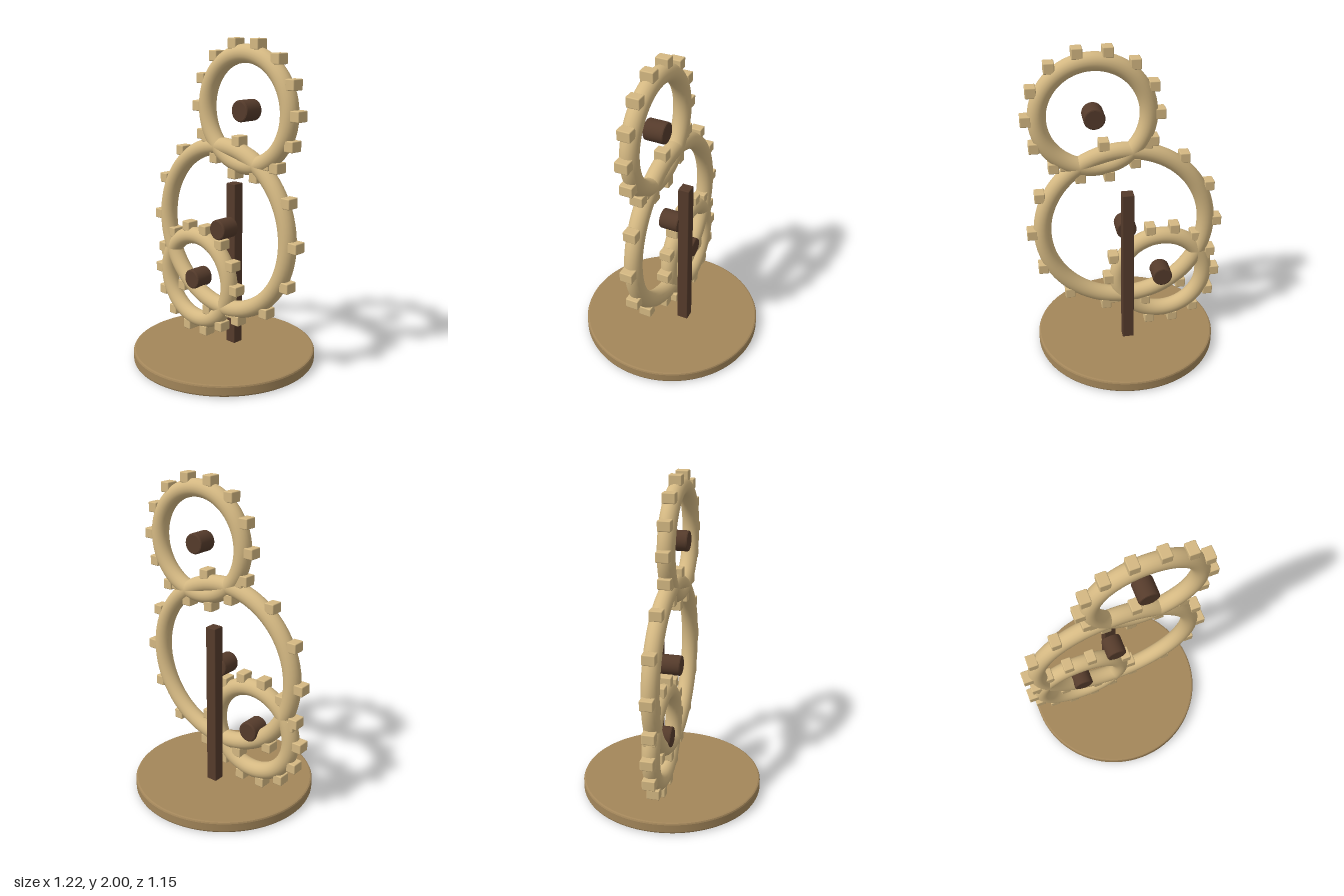
import * as THREE from 'three';
import { RoundedBoxGeometry } from 'three/addons/geometries/RoundedBoxGeometry.js';
import { toCreasedNormals } from 'three/addons/utils/BufferGeometryUtils.js';

const paleWood = new THREE.MeshStandardMaterial({ name: 'paleWood', color: 0xd4b882 });
const baseWood = new THREE.MeshStandardMaterial({ name: 'baseWood', color: 0xa3865a });
const darkWood = new THREE.MeshStandardMaterial({ name: 'darkWood', color: 0x553b2b });

function addMesh(parent, name, geometry, material, x = 0, y = 0, z = 0) {
  const mesh = new THREE.Mesh(geometry, material);
  mesh.name = name;
  mesh.position.set(x, y, z);
  parent.add(mesh);
  return mesh;
}

// Solid disc from y0 to y1 with a small bevel on both rims
function bevelledDisc(radius, y0, y1, bevel, segments) {
  const profile = [
    [0, y0], [radius - bevel, y0], [radius - bevel * 0.3, y0 + bevel * 0.3], [radius, y0 + bevel],
    [radius, y1 - bevel], [radius - bevel * 0.3, y1 - bevel * 0.3], [radius - bevel, y1], [0, y1],
  ].map(([r, y]) => new THREE.Vector2(r, y));
  return toCreasedNormals(new THREE.LatheGeometry(profile, segments), 0.4);
}

const TEETH = 14;
const TUBE = 0.054;
const toothGeometry = new RoundedBoxGeometry(0.063, 0.063, 0.08, 2, 0.006);
const hubGeometry = bevelledDisc(0.0635, -0.0635, 0.0635, 0.009, 32).rotateX(Math.PI / 2);

// Round ring with upright block teeth and a floating hub
function makeGear(name, x, y, ringRadius, toothRadius) {
  const gear = new THREE.Group();
  gear.name = name;
  gear.position.set(x, y, 0);
  addMesh(gear, 'ring', new THREE.TorusGeometry(ringRadius, TUBE, 20, 80), paleWood);
  for (let i = 0; i < TEETH; i++) {
    const a = (i / TEETH) * Math.PI * 2;
    addMesh(gear, 'tooth', toothGeometry, paleWood, Math.cos(a) * toothRadius, Math.sin(a) * toothRadius);
  }
  addMesh(gear, 'hub', hubGeometry, darkWood);
  return gear;
}

export function createModel() {
  const model = new THREE.Group();
  model.name = 'gearSculpture';

  // Round base, with the post passing through to its underside
  addMesh(model, 'base', bevelledDisc(0.575, 0.002, 0.075, 0.012, 96), baseWood);
  addMesh(model, 'post', new RoundedBoxGeometry(0.072, 1.12, 0.072, 2, 0.005), darkWood, 0, 0.56, -0.093);

  // Three overlapping gears in one plane
  model.add(makeGear('largeGear', 0, 0.845, 0.513, 0.577));
  model.add(makeGear('upperGear', 0.185, 1.59, 0.325, 0.39));
  model.add(makeGear('lowerGear', -0.235, 0.47, 0.28, 0.345));
  return model;
}
